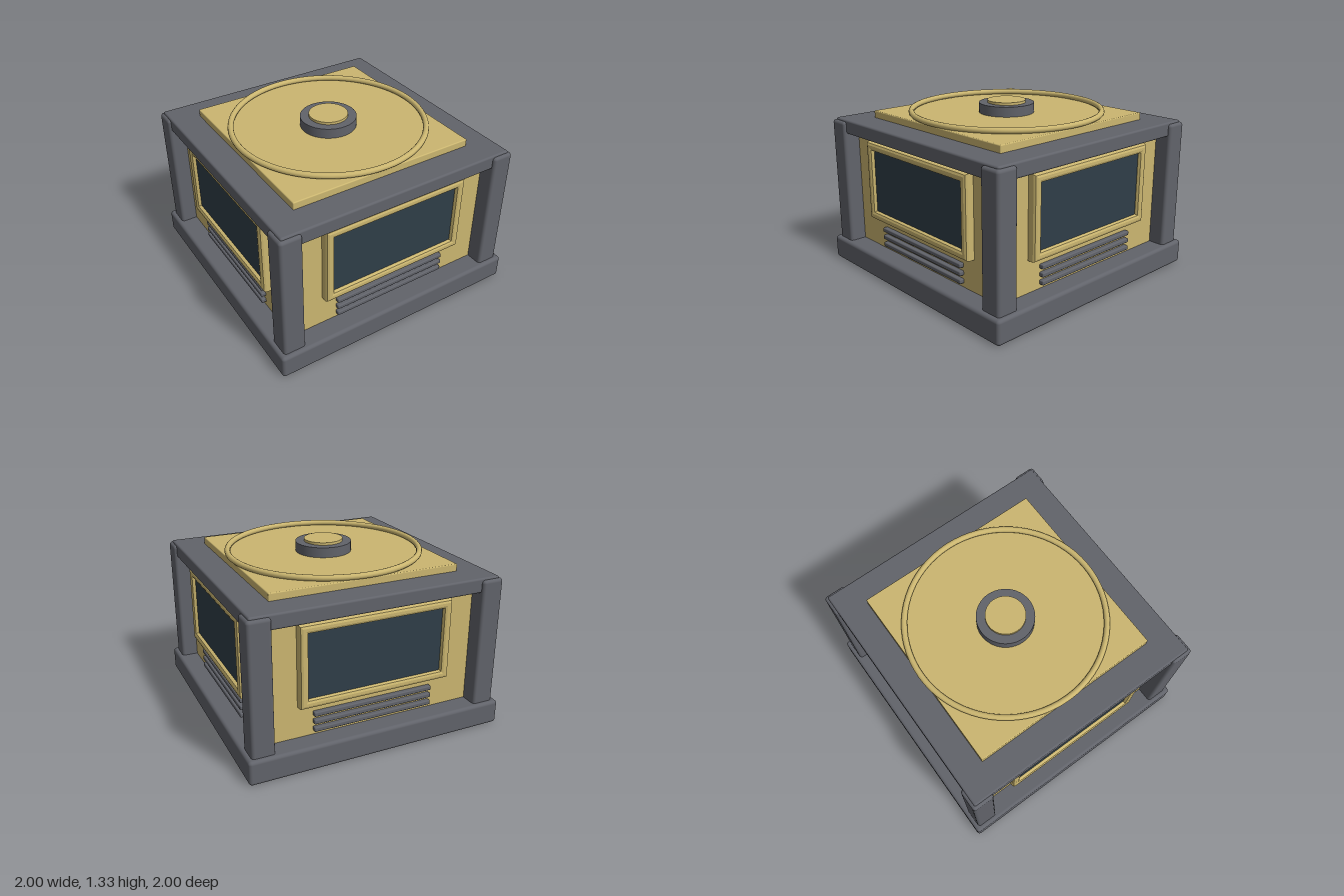
import * as THREE from 'three';
import { RoundedBoxGeometry } from 'three/addons/geometries/RoundedBoxGeometry.js';

const mat = (name, color) => {
  const m = new THREE.MeshStandardMaterial({ color });
  m.name = name;
  return m;
};

export function createModel() {
  const grey = mat('slate grey', 0x61636a);
  const gold = mat('pale gold', 0xcbb670);
  const dark = mat('dark glass', 0x2f3e48);
  const model = new THREE.Group();
  model.name = 'cabinet';

  const add = (parent, name, geometry, material, x, y, z) => {
    const mesh = new THREE.Mesh(geometry, material);
    mesh.name = name;
    mesh.position.set(x, y, z);
    parent.add(mesh);
    return mesh;
  };
  // Rounded box spanning y0..y1, centred on x and z
  const block = (parent, name, material, w, y0, y1, d, r, x = 0, z = 0) =>
    add(parent, name, new RoundedBoxGeometry(w, y1 - y0, d, 3, r), material, x, (y0 + y1) / 2, z);

  // Main body
  block(model, 'base', grey, 2, 0, 0.185, 2, 0.025);
  add(model, 'body', new THREE.BoxGeometry(1.68, 0.92, 1.68), gold, 0, 0.63, 0);
  block(model, 'roof', grey, 1.89, 1.07, 1.18, 1.89, 0.015);
  for (const x of [-1, 1]) {
    for (const z of [-1, 1]) {
      block(model, 'cornerPost', grey, 0.17, 0.16, 1.165, 0.17, 0.025, x * 0.882, z * 0.882);
    }
  }

  // Bevelled window frame with a rectangular opening
  const frameShape = new THREE.Shape();
  frameShape.moveTo(-0.565, -0.285).lineTo(0.565, -0.285).lineTo(0.565, 0.285)
    .lineTo(-0.565, 0.285).closePath();
  const opening = new THREE.Path();
  opening.moveTo(-0.545, -0.285 + 0.02).lineTo(-0.545, 0.265).lineTo(0.545, 0.265)
    .lineTo(0.545, -0.265).closePath();
  frameShape.holes.push(opening);
  const frameGeometry = new THREE.ExtrudeGeometry(frameShape, {
    depth: 0.045, bevelEnabled: true, bevelThickness: 0.022, bevelSize: 0.022, bevelSegments: 2,
  });

  // The same window and vents on all four sides
  for (let i = 0; i < 4; i++) {
    const side = new THREE.Group();
    side.name = 'sidePanel';
    side.rotation.y = i * Math.PI / 2;
    add(side, 'windowFrame', frameGeometry, gold, 0, 0.737, 0.843);
    add(side, 'windowGlass', new THREE.BoxGeometry(1.06, 0.54, 0.06), dark, 0, 0.737, 0.85);
    for (const y of [0.232, 0.292, 0.352]) {
      block(side, 'ventBar', grey, 0.94, y - 0.017, y + 0.017, 0.05, 0.008, 0, 0.85);
    }
    model.add(side);
  }

  // Top plate, ring and hub
  block(model, 'topPlate', gold, 1.46, 1.17, 1.235, 1.46, 0.008);
  const ring = add(model, 'topRing', new THREE.TorusGeometry(0.73, 0.022, 12, 72), gold, 0, 1.256, 0);
  ring.rotation.x = Math.PI / 2;
  add(model, 'hub', new THREE.CylinderGeometry(0.212, 0.212, 0.08, 48), grey, 0, 1.271, 0);
  add(model, 'hubCap', new THREE.CylinderGeometry(0.147, 0.147, 0.04, 48), gold, 0, 1.311, 0);

  return model;
}
